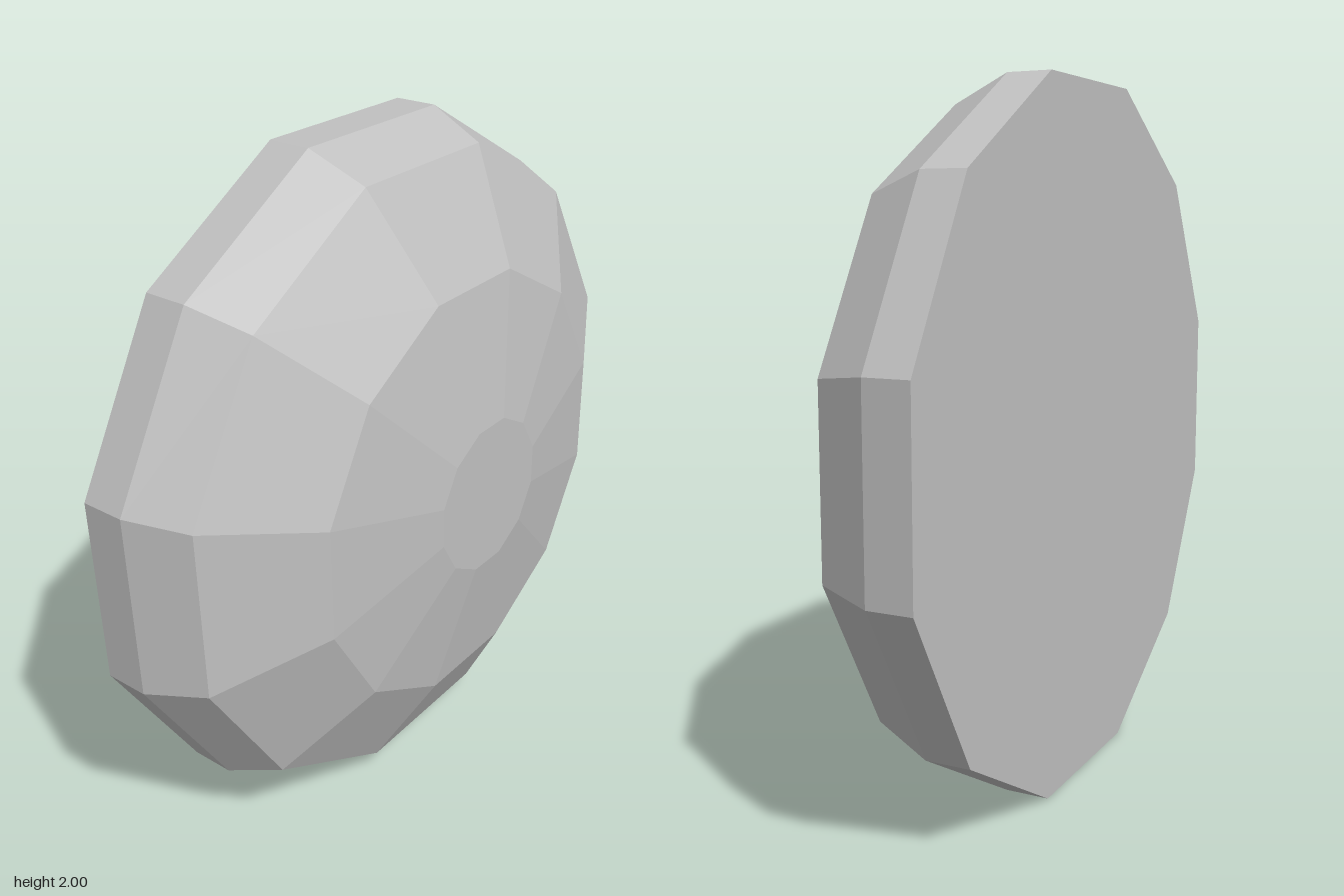
import * as THREE from 'three';

const SIDES = 12;

// Revolve a [radius, depth] profile around the z axis, with flats on all four sides
function turned(name, profile, material) {
  const points = profile.map(([r, z]) => new THREE.Vector2(r, z));
  const geometry = new THREE.LatheGeometry(points, SIDES, Math.PI / SIDES);
  geometry.rotateX(Math.PI / 2);
  geometry.translate(0, 1, 0);
  const mesh = new THREE.Mesh(geometry, material);
  mesh.name = name;
  return mesh;
}

export function createModel() {
  const group = new THREE.Group();
  group.name = 'facetedDome';
  const grey = new THREE.MeshStandardMaterial({ color: 0xc0c0c0, flatShading: true });
  grey.name = 'light grey';

  // Flat back plate
  group.add(turned('backPlate', [[0, -0.265], [1.035, -0.265]], grey));
  // Straight rim with a bevelled shoulder
  group.add(turned('rim', [[1.035, -0.265], [1.035, -0.137], [0.958, 0.03]], grey));
  // Shallow dome with a flat centre
  group.add(turned('dome', [[0.958, 0.03], [0.645, 0.198], [0.233, 0.265], [0, 0.265]], grey));

  return group;
}
